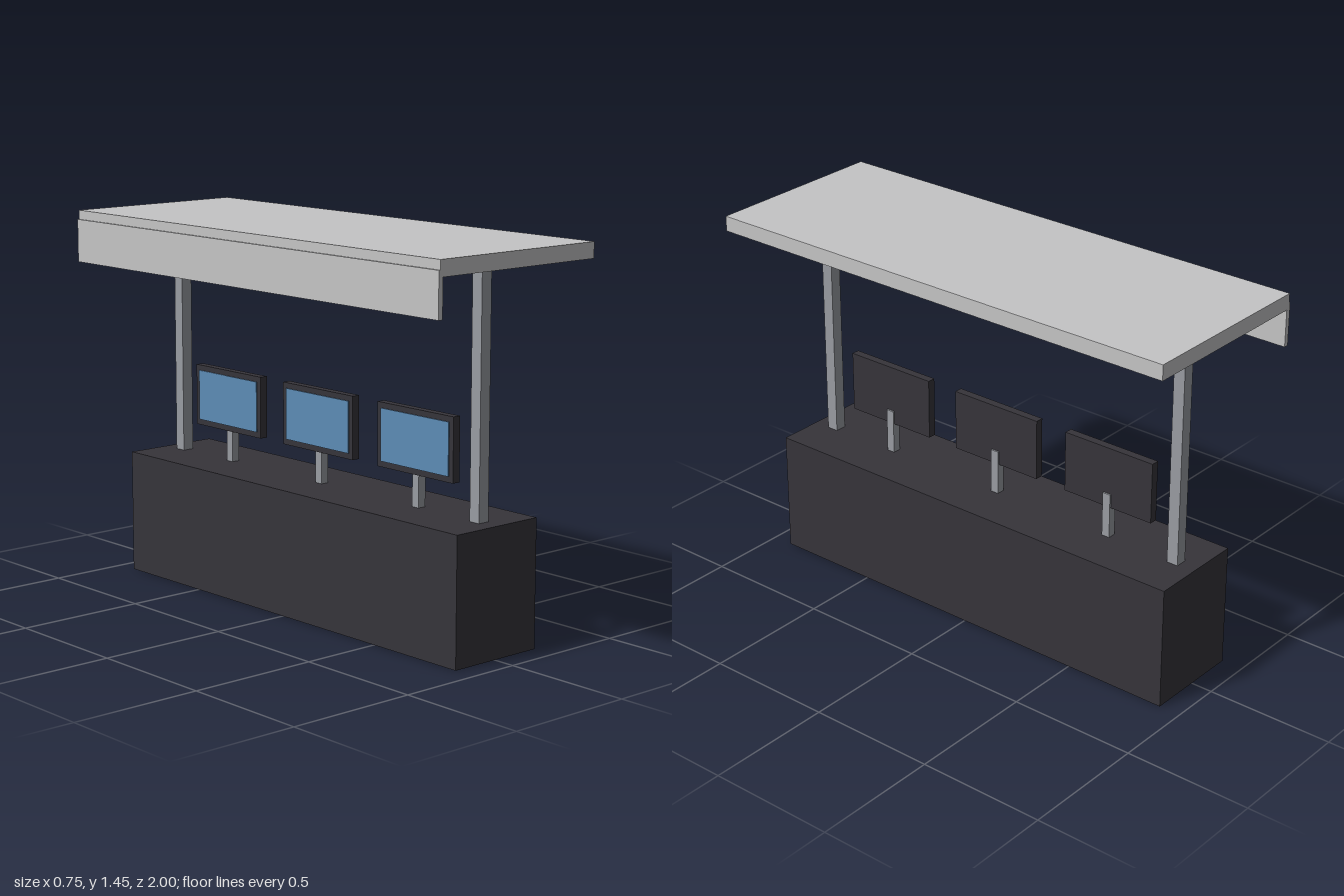
import * as THREE from 'three';

export function createModel() {
  const group = new THREE.Group();
  group.name = 'monitorStation';

  const material = (name, color) => {
    const m = new THREE.MeshStandardMaterial({ color });
    m.name = name;
    return m;
  };
  const charcoal = material('charcoal', 0x36343a);
  const steel = material('steel', 0x9a9da3);
  const paleGrey = material('paleGrey', 0xc5c5c6);
  const screenBlue = material('screenBlue', 0x5d8cb6);

  // Box given by its lower and upper limits on each axis
  const addBox = (name, mat, [x0, x1], [y0, y1], [z0, z1]) => {
    const mesh = new THREE.Mesh(new THREE.BoxGeometry(x1 - x0, y1 - y0, z1 - z0), mat);
    mesh.position.set((x0 + x1) / 2, (y0 + y1) / 2, (z0 + z1) / 2);
    mesh.name = name;
    group.add(mesh);
  };
  const around = (centre, size) => [centre - size / 2, centre + size / 2];
  const midX = 0.0025;

  // Counter, with its base just above the post feet
  addBox('counter', charcoal, around(midX, 0.391), [0.001, 0.48], [-0.915, 0.915]);

  // Posts run through the counter up to the canopy
  for (const z of [-0.825, 0.825]) {
    addBox('post', steel, around(midX, 0.046), [0, 1.386], around(z, 0.046));
  }

  // Canopy with a hanging fascia along one long side
  addBox('canopy', paleGrey, [-0.367, 0.372], [1.386, 1.445], [-1, 1]);
  addBox('fascia', paleGrey, [-0.374, -0.355], [1.245, 1.41], [-0.9995, 0.9995]);

  // Three monitors on stands, screens facing the fascia side
  for (const z of [-0.522, 0, 0.522]) {
    addBox('monitorStand', steel, around(midX, 0.033), [0.479, 0.655], around(z, 0.033));
    addBox('monitorBody', charcoal, [-0.0195, 0.0125], [0.6, 0.838], around(z, 0.389));
    addBox('monitorScreen', screenBlue, [-0.0235, -0.0185], [0.622, 0.817], around(z, 0.348));
  }

  return group;
}
